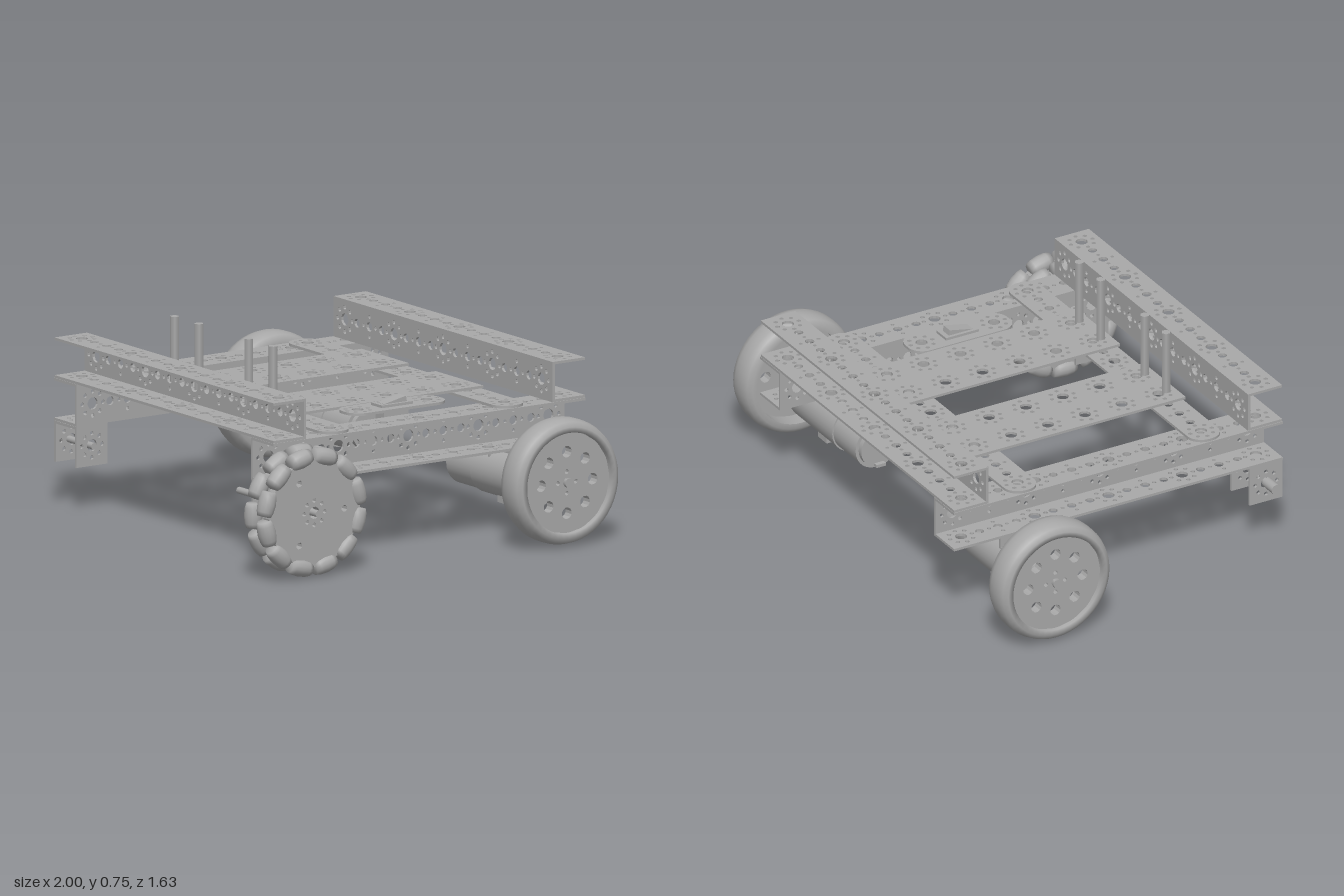
import * as THREE from 'three';

const steel = new THREE.MeshStandardMaterial({ color: 0xa8a8a8 });
steel.name = 'steel grey';
const T = 0.01; // sheet thickness
const PITCH = 0.315; // distance between hole clusters
const LEN = 1.405; // channel length
const MID = -0.092; // frame centre along z

function add(parent, name, geometry, x = 0, y = 0, z = 0) {
  const mesh = new THREE.Mesh(geometry, steel);
  mesh.name = name;
  mesh.position.set(x, y, z);
  parent.add(mesh);
  return mesh;
}

function sub(parent, name, x = 0, y = 0, z = 0, ry = 0) {
  const g = new THREE.Group();
  g.name = name;
  g.position.set(x, y, z);
  g.rotation.y = ry;
  parent.add(g);
  return g;
}

// Hole helpers
function hole(shape, x, y, r, n = 8) {
  const pts = [];
  for (let i = 0; i < n; i++) {
    const a = -(i + 0.5) / n * Math.PI * 2;
    pts.push(new THREE.Vector2(x + r * Math.cos(a), y + r * Math.sin(a)));
  }
  shape.holes.push(new THREE.Path(pts));
}

function ring(shape, x, y, count, radius, r, n = 6) {
  for (let i = 0; i < count; i++) {
    const a = i / count * Math.PI * 2;
    hole(shape, x + radius * Math.cos(a), y + radius * Math.sin(a), r, n);
  }
}

function cluster(shape, x, y) {
  hole(shape, x, y, 0.023, 12);
  ring(shape, x, y, 8, 0.046, 0.009);
}

function outline(w, h, r = 0) {
  const s = new THREE.Shape();
  const a = w / 2, b = h / 2;
  if (!r) {
    s.moveTo(-a, -b).lineTo(a, -b).lineTo(a, b).lineTo(-a, b);
    return s;
  }
  s.moveTo(-a + r, -b).lineTo(a - r, -b);
  s.absarc(a - r, -b + r, r, -Math.PI / 2, 0).lineTo(a, b - r);
  s.absarc(a - r, b - r, r, 0, Math.PI / 2).lineTo(-a + r, b);
  s.absarc(-a + r, b - r, r, Math.PI / 2, Math.PI).lineTo(-a, -b + r);
  s.absarc(-a + r, -b + r, r, Math.PI, Math.PI * 1.5);
  return s;
}

function sheet(shape, depth = T) {
  const g = new THREE.ExtrudeGeometry(shape, { depth, bevelEnabled: false, curveSegments: 8 });
  return g.translate(0, 0, -depth / 2);
}

// Long perforated strip, lying in the xy plane
function strip(length, width, r = 0) {
  const s = outline(length, width, r);
  for (let i = -2; i <= 2; i++) cluster(s, i * PITCH, 0);
  for (let i = -2; i < 2; i++) {
    const x = (i + 0.5) * PITCH;
    hole(s, x, 0, 0.018, 10);
    ring(s, x, 0, 4, 0.038, 0.008);
    for (const d of [-1, 1]) hole(s, x + d * PITCH / 4, 0, 0.017, 10);
  }
  return sheet(s);
}

const flat = (g) => g.rotateX(-Math.PI / 2);
// Cylinder lying along x
const rod = (r, length, n = 20) => new THREE.CylinderGeometry(r, r, length, n).rotateZ(Math.PI / 2);

// C-section with its web at z = 0 and flanges reaching to +z
function channel(parent, name, x, y, z, ry, h) {
  const g = sub(parent, name, x, y, z, ry);
  add(g, 'web', strip(LEN, h), 0, h / 2, T / 2);
  const flange = flat(strip(LEN, 0.146));
  add(g, 'lowerFlange', flange, 0, T / 2, 0.073);
  add(g, 'upperFlange', flange, 0, h - T / 2, 0.073);
}

// Hanging U bracket under a side channel
function hanger(parent, side, z) {
  const g = sub(parent, 'hangingBracket', side * 0.632, 0, z);
  const s = outline(0.14, 0.155);
  cluster(s, 0, 0);
  const cheek = sheet(s).rotateY(Math.PI / 2);
  for (const d of [-1, 1]) add(g, 'cheek', cheek, d * 0.066, 0.25, 0);
  add(g, 'bridge', new THREE.BoxGeometry(0.142, T, 0.14), 0, 0.322, 0);
}

// Rubber-tyred drive wheel, local axis along +x outward
function driveWheel(parent, side) {
  const g = sub(parent, 'driveWheel', side * 0.93, 0.25, -0.52, side > 0 ? 0 : Math.PI);
  const profile = [[0.19, -0.062], [0.21, -0.062], [0.228, -0.05], [0.236, -0.025], [0.237, 0],
    [0.236, 0.025], [0.228, 0.05], [0.21, 0.062], [0.19, 0.062], [0.19, -0.062]]
    .map(([r, h]) => new THREE.Vector2(r, h));
  add(g, 'tyre', new THREE.LatheGeometry(profile, 48).rotateZ(-Math.PI / 2));
  const s = new THREE.Shape().absarc(0, 0, 0.192, 0, Math.PI * 2);
  ring(s, 0, 0, 8, 0.116, 0.022, 12);
  ring(s, 0, 0, 4, 0.04, 0.009, 8);
  add(g, 'wheelDisc', sheet(s, 0.04).rotateY(Math.PI / 2), 0.025);
  add(g, 'hub', rod(0.032, 0.07), -0.02);
  add(g, 'axleEnd', rod(0.018, 0.02, 6), 0.05);
}

// Gear motor on the inside of a drive wheel
function motor(parent, side) {
  const g = sub(parent, 'gearMotor', 0, 0, -0.525);
  const part = (name, r, x0, x1, y, n = 28) =>
    add(g, name, rod(r, x1 - x0, n), side * (x0 + x1) / 2, y, 0);
  part('motorBody', 0.088, 0.32, 0.67, 0.22);
  part('motorCap', 0.075, 0.3, 0.32, 0.22);
  part('gearbox', 0.094, 0.48, 0.79, 0.22);
  part('outputShaft', 0.014, 0.78, 0.93, 0.252, 12);
  part('shaftCollar', 0.024, 0.82, 0.88, 0.252, 16);
  add(g, 'terminal', new THREE.BoxGeometry(0.035, 0.012, 0.04), side * 0.3, 0.155, 0);
  add(g, 'clampBlock', new THREE.BoxGeometry(0.065, 0.06, 0.1), side * 0.627, 0.145, 0);
}

// Roller wheel made of two staggered rows
function rollerWheel(parent) {
  const g = sub(parent, 'rollerWheel', 0.817, 0.25, 0.545);
  const s = new THREE.Shape().absarc(0, 0, 0.205, 0, Math.PI * 2);
  cluster(s, 0, 0);
  ring(s, 0, 0, 3, 0.135, 0.013, 8);
  const disc = sheet(s, 0.036).rotateY(Math.PI / 2);
  const barrel = new THREE.LatheGeometry([[0, -0.047], [0.026, -0.047], [0.032, -0.03], [0.035, 0],
    [0.032, 0.03], [0.026, 0.047], [0, 0.047]].map(([r, h]) => new THREE.Vector2(r, h)), 14);
  [-0.038, 0.038].forEach((x, row) => {
    add(g, 'rollerDisc', disc, x);
    for (let i = 0; i < 12; i++) {
      const a = (i + row / 2) / 12 * Math.PI * 2;
      const m = add(g, 'roller', barrel, x, 0.209 * Math.sin(a), 0.209 * Math.cos(a));
      m.rotation.x = -a;
    }
  });
}

export function createModel() {
  const model = new THREE.Group();
  model.name = 'wheeledChassis';
  const base = sub(model, 'chassis', -0.016, 0, 0, -0.032);

  // Frame: side channels below, front and back channels on top, all open outward
  for (const s of [-1, 1]) {
    channel(base, s > 0 ? 'leftChannel' : 'rightChannel', s * 0.559, 0.328, MID, s * Math.PI / 2, 0.16);
  }
  channel(base, 'frontChannel', 0, 0.488, 0.463, 0, 0.152);
  channel(base, 'backChannel', 0, 0.488, -0.647, Math.PI, 0.152);

  // Cross bars and deck plates
  const bar = flat(strip(1.4, 0.13, 0.06));
  add(base, 'backCrossBar', bar, 0, 0.493, -0.48);
  add(base, 'frontCrossBar', bar, 0, 0.493, 0.305);
  const deck = outline(0.305, 0.935);
  for (let r = 0; r < 6; r++) {
    for (const d of [-1, 1]) cluster(deck, d * 0.08, (r - 2.5) * PITCH / 2);
  }
  const deckGeometry = flat(sheet(deck));
  for (const s of [-1, 1]) {
    add(base, 'deckPlate', deckGeometry, s * 0.238, 0.503, -0.087);
    for (const d of [-1, 1]) {
      const x = s * 0.238 + d * 0.078;
      add(base, 'standoff', new THREE.CylinderGeometry(0.018, 0.018, 0.255, 6), x, 0.628, 0.34);
      add(base, 'deckScrew', new THREE.CylinderGeometry(0.016, 0.016, 0.02, 12), x, 0.488, -0.48);
    }
  }

  // Rocker switch
  const sw = sub(base, 'rockerSwitch', 0.467, 0, -0.09);
  const plate = outline(0.14, 0.435, 0.06);
  for (const d of [-1, 1]) cluster(plate, 0, d * 0.155);
  add(sw, 'switchPlate', flat(sheet(plate)), 0, 0.503, 0);
  add(sw, 'switchBezel', new THREE.BoxGeometry(0.07, 0.012, 0.14), 0, 0.512, 0);
  add(sw, 'rocker', new THREE.BoxGeometry(0.045, 0.024, 0.1), 0, 0.517, 0).rotation.x = 0.2;
  add(sw, 'switchHousing', new THREE.BoxGeometry(0.055, 0.09, 0.11), 0, 0.455, 0);
  for (const d of [-1, 0, 1]) {
    add(sw, 'switchTerminal', new THREE.BoxGeometry(0.03, 0.06, 0.008), 0, 0.385, d * 0.035);
  }

  // Drive and supports
  for (const s of [-1, 1]) {
    hanger(base, s, 0.54);
    hanger(base, s, -0.525);
    motor(base, s);
    driveWheel(base, s);
    add(base, 'axleCollar', rod(0.02, 0.07, 16), s * 0.735, 0.25, 0.545);
  }
  rollerWheel(base);
  add(base, 'frontAxle', rod(0.013, 0.51, 12), 0.645, 0.25, 0.545);
  add(base, 'stubAxle', rod(0.013, 0.22, 12), -0.65, 0.25, 0.545);
  return model;
}
